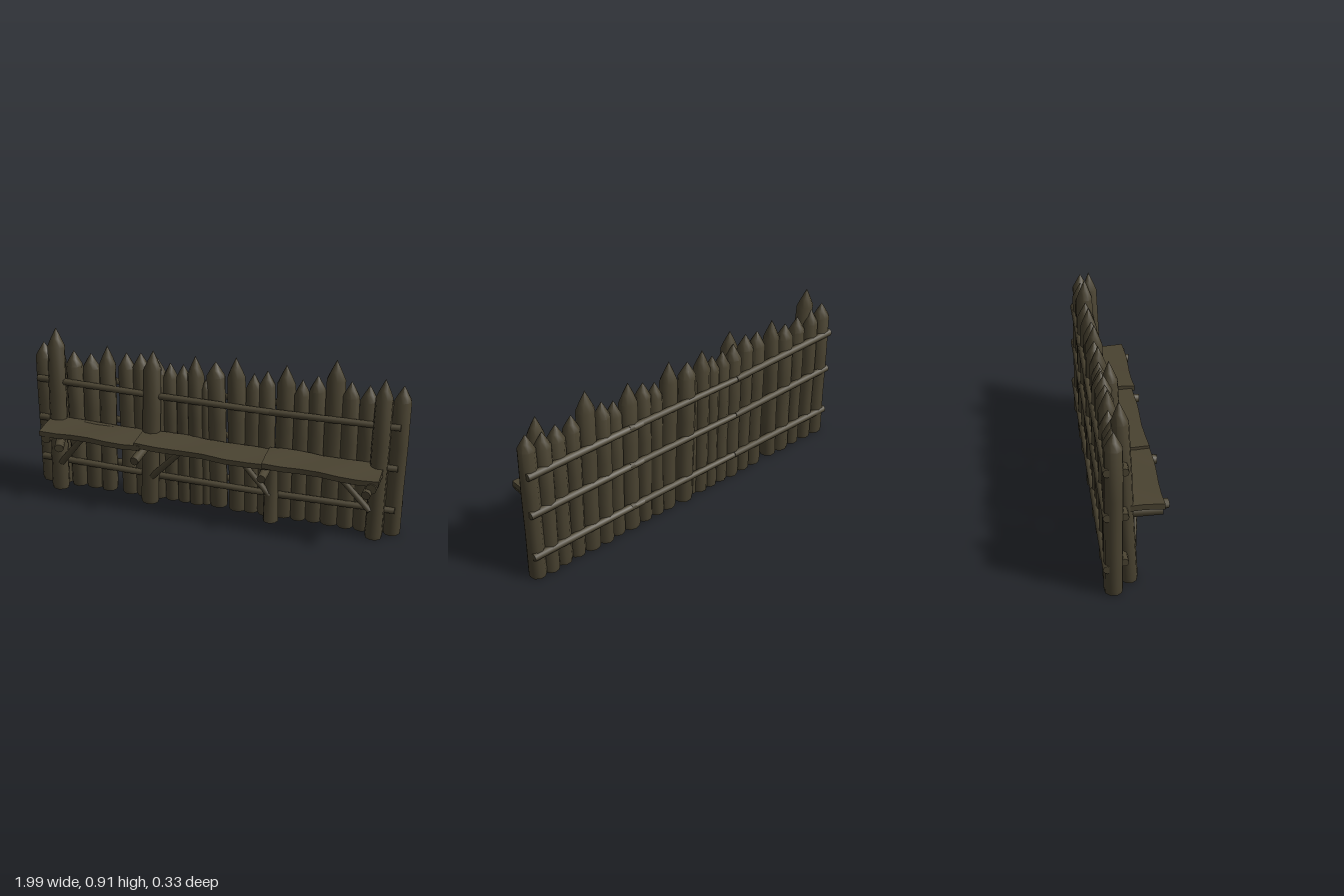
import * as THREE from 'three';
import { toCreasedNormals } from 'three/addons/utils/BufferGeometryUtils.js';

const wood = new THREE.MeshStandardMaterial({ color: 0x4a4331 });
wood.name = 'weathered dark wood';

// small seeded noise in -1..1
let seed = 7;
const rnd = () => {
  seed = (seed * 16807) % 2147483647;
  return (seed / 2147483647) * 2 - 1;
};

function add(group, geo, name) {
  const mesh = new THREE.Mesh(toCreasedNormals(geo, 0.8), wood);
  mesh.name = name;
  group.add(mesh);
  return mesh;
}

// sharpened stake, leaning from its foot to its tip; rz is the depth radius
function stake(group, name, foot, tip, r, rz, point) {
  const h = tip[1];
  const profile = [
    [0, 0], [r * 0.94, 0], [r, 0.02], [r * 0.96, h * 0.3], [r, h * 0.6],
    [r * 0.95, h - point], [r * 0.55, h - point * 0.55], [0, h],
  ].map(([x, y]) => new THREE.Vector2(x, y));
  const geo = new THREE.LatheGeometry(profile, 9, rnd());
  const pos = geo.attributes.position;
  for (let i = 0; i < pos.count; i++) {
    const t = pos.getY(i) / h;
    pos.setX(i, pos.getX(i) + THREE.MathUtils.lerp(foot[0], tip[0], t));
    pos.setZ(i, pos.getZ(i) * (rz / r) + THREE.MathUtils.lerp(foot[1], tip[2], t));
  }
  add(group, geo, name);
}

// round log between two points, slightly thinner at its far end
function log(group, name, a, b, r, taper = 0.9) {
  const from = new THREE.Vector3(...a), to = new THREE.Vector3(...b);
  const dir = to.clone().sub(from);
  const geo = new THREE.CylinderGeometry(r * taper, r, dir.length(), 8, 1);
  const mesh = add(group, geo, name);
  mesh.position.copy(from).lerp(to, 0.5);
  mesh.quaternion.setFromUnitVectors(new THREE.Vector3(0, 1, 0), dir.normalize());
}

// worn plank with an uneven outline
function plank(group, x0, x1, y0, y1, z0, z1) {
  const geo = new THREE.BoxGeometry(x1 - x0, 0.028, z1 - z0, 6, 1, 2);
  const pos = geo.attributes.position;
  for (let i = 0; i < pos.count; i++) {
    const x = pos.getX(i), z = pos.getZ(i);
    const t = x / (x1 - x0) + 0.5;
    pos.setY(i, pos.getY(i) + THREE.MathUtils.lerp(y0, y1, t) + 0.004 * Math.sin(x * 17 + z * 20));
    pos.setZ(i, z + (z0 + z1) / 2 + 0.004 * Math.sin(x * 13));
    pos.setX(i, x + (x0 + x1) / 2 + 0.012 * Math.sin(z * 30));
  }
  add(group, geo, 'walkwayPlank');
}

export function createModel() {
  const model = new THREE.Group();
  model.name = 'palisadeWall';
  const wall = new THREE.Group();
  wall.name = 'stakes';
  const frame = new THREE.Group();
  frame.name = 'rails';
  const walkway = new THREE.Group();
  walkway.name = 'walkway';
  model.add(wall, frame, walkway);

  // wall stakes: foot x, tip x, height, radius
  const stakes = [
    [-0.95, -0.948, 0.81, 0.05], [-0.865, -0.87, 0.8, 0.045], [-0.775, -0.775, 0.785, 0.046],
    [-0.685, -0.68, 0.78, 0.05], [-0.6, -0.585, 0.835, 0.046], [-0.475, -0.48, 0.81, 0.047],
    [-0.395, -0.4, 0.82, 0.046], [-0.31, -0.31, 0.8, 0.046], [-0.235, -0.24, 0.785, 0.042],
    [-0.165, -0.17, 0.785, 0.042], [-0.095, -0.105, 0.84, 0.046], [0.02, 0, 0.82, 0.051],
    [0.128, 0.11, 0.86, 0.049], [0.2, 0.205, 0.785, 0.042], [0.28, 0.275, 0.81, 0.044],
    [0.37, 0.37, 0.85, 0.051], [0.455, 0.455, 0.785, 0.043], [0.535, 0.53, 0.815, 0.045],
    [0.62, 0.62, 0.91, 0.051], [0.705, 0.7, 0.81, 0.045], [0.79, 0.79, 0.8, 0.048],
    [0.87, 0.87, 0.8, 0.045], [0.945, 0.955, 0.82, 0.046],
  ];
  for (const [x0, x1, h, r] of stakes) {
    const z = -0.106 + rnd() * 0.006;
    stake(wall, 'stake', [x0, z], [x1, h, z], r, Math.min(r, 0.046), h > 0.82 ? 0.105 : 0.08);
  }
  // thin stake filling the wall near the middle
  stake(wall, 'thinStake', [-0.045, -0.1], [-0.05, 0.72, -0.1], 0.026, 0.026, 0.06);

  // support posts in front: foot x, tip x, height, tip z, radius
  const posts = [
    [-0.86, -0.86, 0.91, -0.08, 0.049], [-0.34, -0.32, 0.855, -0.07, 0.049],
    [0.865, 0.87, 0.86, -0.065, 0.046],
  ];
  for (const [x0, x1, h, z, r] of posts) {
    stake(wall, 'supportPost', [x0, -0.032], [x1, h, z], r, 0.043, 0.1);
  }
  log(wall, 'shortPost', [0.325, 0, -0.032], [0.32, 0.37, -0.04], 0.041, 0.85);

  // horizontal rails on the back, in overlapping lengths
  for (const [y, dy] of [[0.615, 0.015], [0.395, 0.01], [0.145, -0.008]]) {
    log(frame, 'backRail', [-0.99, y + dy, -0.143], [-0.3, y, -0.147], 0.02);
    log(frame, 'backRail', [0.4, y + 0.006, -0.146], [-0.38, y - 0.004, -0.146], 0.018);
    log(frame, 'backRail', [0.985, y, -0.142], [0.32, y + 0.004, -0.147], 0.02);
  }
  // horizontal rails on the front, between the posts
  for (const y of [0.61, 0.385, 0.148]) {
    log(frame, 'frontRail', [-0.97, y + 0.01, -0.062], [-0.3, y, -0.058], 0.019);
    log(frame, 'frontRail', [-0.36, y, -0.058], [0.36, y - 0.004, -0.056], 0.019);
    log(frame, 'frontRail', [0.3, y - 0.004, -0.056], [0.96, y + 0.004, -0.06], 0.019);
  }

  // walkway planks
  plank(walkway, -0.895, -0.34, 0.392, 0.388, -0.062, 0.126);
  plank(walkway, -0.37, 0.36, 0.398, 0.382, -0.058, 0.12);
  plank(walkway, 0.31, 0.895, 0.398, 0.386, -0.058, 0.13);

  // cross beams under the walkway: x at wall, x at end, end y, end z, radius
  const beams = [
    [-0.84, -0.77, 0.335, 0.155, 0.027], [-0.335, -0.35, 0.33, 0.162, 0.026],
    [0.32, 0.32, 0.335, 0.155, 0.026], [0.86, 0.845, 0.335, 0.158, 0.027],
    [0.865, 0.865, 0.362, 0.138, 0.031], [-0.86, -0.86, 0.362, 0.12, 0.03],
  ];
  for (const [x0, x1, y, z, r] of beams) {
    log(walkway, 'crossBeam', [x0, 0.358, -0.07], [x1, y, z], r);
  }

  // diagonal braces from the posts up to the walkway
  for (const [x0, x1] of [[-0.84, -0.67], [-0.32, -0.12], [0.32, 0.15], [0.84, 0.65]]) {
    log(walkway, 'brace', [x0, 0.16, -0.012], [x1, 0.375, 0.015], 0.017);
  }
  return model;
}
